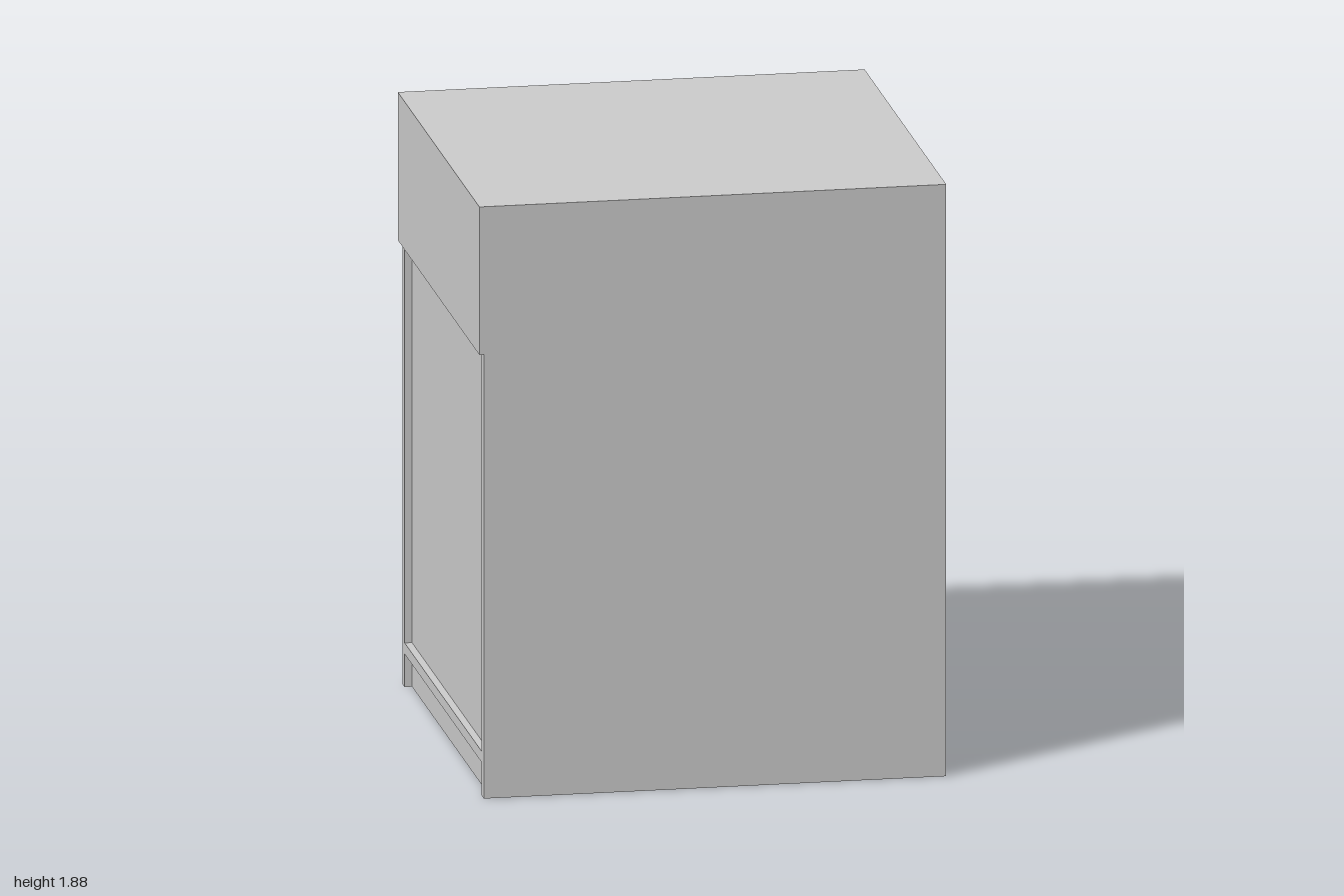
import * as THREE from 'three';

const WIDTH = 1.372, HALF = WIDTH / 2;
const BACK = -0.728, FRONT = 0.728;       // depth limits of the cabinet
const FRAME = 0.714, PANEL = 0.691;       // front of the frame, and the recessed panels
const SPLIT = 1.41, TOP = 1.88;           // underside of the upper front, and cabinet height
const STILE = 0.04, RAIL_LOW = 0.105, RAIL_HIGH = 0.14;

const polygon = (points) => new THREE.Shape(points.map(([x, y]) => new THREE.Vector2(x, y)));

export function createModel() {
  const grey = new THREE.MeshStandardMaterial({ color: 0xcccccc });
  grey.name = 'light grey';

  const cabinet = new THREE.Group();
  cabinet.name = 'cabinet';

  const add = (name, geometry) => {
    const mesh = new THREE.Mesh(geometry, grey);
    mesh.name = name;
    cabinet.add(mesh);
  };

  // Carcass: side profile with the overhanging upper front, swept across the width
  const profile = polygon([
    [BACK, 0], [PANEL, 0], [PANEL, SPLIT], [FRONT, SPLIT], [FRONT, TOP], [BACK, TOP],
  ].map(([z, y]) => [-z, y]));
  const carcass = new THREE.ExtrudeGeometry(profile, { depth: WIDTH, bevelEnabled: false });
  carcass.rotateY(Math.PI / 2).translate(-HALF, 0, 0);
  add('carcass', carcass);

  // Front frame: two stiles and a low rail, open at the toe and around the door panel
  const inner = HALF - STILE;
  const outline = polygon([
    [-HALF, 0], [-inner, 0], [-inner, RAIL_LOW], [inner, RAIL_LOW], [inner, 0], [HALF, 0],
    [HALF, SPLIT], [inner, SPLIT], [inner, RAIL_HIGH], [-inner, RAIL_HIGH], [-inner, SPLIT], [-HALF, SPLIT],
  ]);
  const frame = new THREE.ExtrudeGeometry(outline, { depth: FRAME - PANEL, bevelEnabled: false });
  frame.translate(0, 0, PANEL);
  add('frontFrame', frame);

  // The cabinet stands diagonally
  cabinet.rotation.y = -Math.PI / 4;
  const model = new THREE.Group();
  model.name = 'model';
  model.add(cabinet);
  return model;
}
